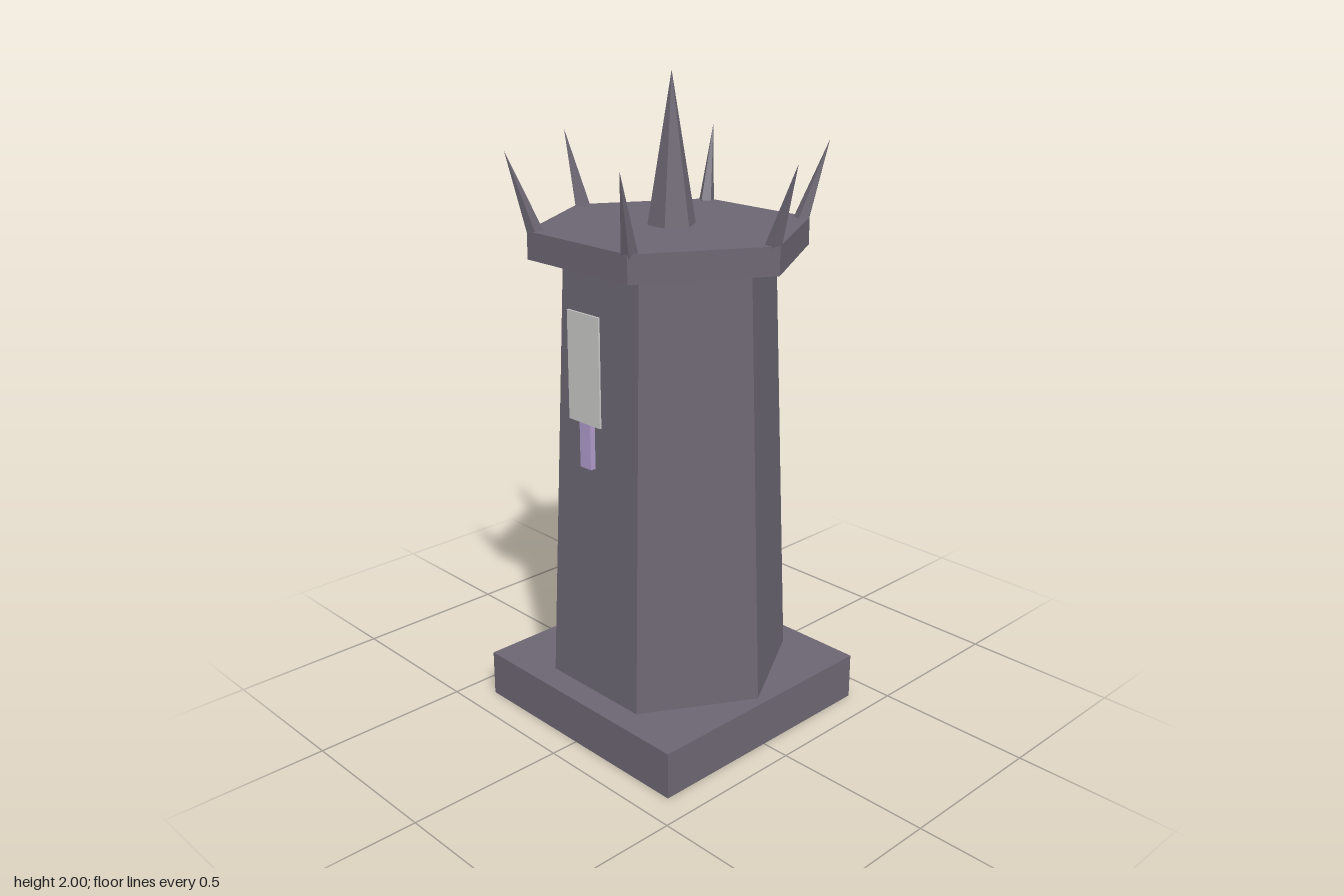
import * as THREE from 'three';

const stone = new THREE.MeshStandardMaterial({ color: 0x6c6672 });
stone.name = 'stone';
const pale = new THREE.MeshStandardMaterial({ color: 0xc8c9c6 });
pale.name = 'paleWindow';
const violet = new THREE.MeshStandardMaterial({ color: 0xb09acb });
violet.name = 'violet';

// Faceted normals
function facet(geometry) {
  const g = geometry.index ? geometry.toNonIndexed() : geometry;
  g.computeVertexNormals();
  return g;
}

function add(parent, name, geometry, material, x = 0, y = 0, z = 0) {
  const mesh = new THREE.Mesh(facet(geometry), material);
  mesh.name = name;
  mesh.position.set(x, y, z);
  parent.add(mesh);
  return mesh;
}

// Upright prism or cone standing on its own base, with a corner on +x when six-sided
function prism(rTop, rBottom, height, sides = 6) {
  return new THREE.CylinderGeometry(rTop, rBottom, height, sides, 1, false, Math.PI / 6)
    .translate(0, height / 2, 0);
}

function spike(radius, height, sides) {
  return new THREE.ConeGeometry(radius, height, sides, 1, false, Math.PI / 6)
    .translate(0, height / 2, 0);
}

export function createModel() {
  const tower = new THREE.Group();
  tower.name = 'tower';

  // Square plinth, tapering shaft and overhanging platform
  add(tower, 'base', new THREE.BoxGeometry(0.82, 0.147, 0.82), stone, 0, 0.0735, 0);
  add(tower, 'shaft', prism(0.323, 0.381, 1.335), stone, 0, 0.146, 0);
  add(tower, 'platform', prism(0.425, 0.425, 0.083), stone, 0, 1.478, 0);

  // Central spire
  add(tower, 'spire', spike(0.073, 0.44, 6), stone, 0, 1.56, 0);

  // Outward-leaning spikes on the six platform corners
  const foot = new THREE.Vector2(0.4, 1.555);
  const tip = new THREE.Vector2(0.481, 1.79);
  const lean = Math.atan2(tip.x - foot.x, tip.y - foot.y);
  for (let i = 0; i < 6; i++) {
    const arm = new THREE.Group();
    arm.name = 'cornerSpike' + (i + 1);
    arm.rotation.y = (i * Math.PI) / 3;
    const cone = add(arm, 'spike', spike(0.025, foot.distanceTo(tip), 5), stone, foot.x, foot.y, 0);
    cone.rotation.z = -lean;
    tower.add(arm);
  }

  // Front window panel with a narrow strip hanging below it
  add(tower, 'window', new THREE.BoxGeometry(0.134, 0.327, 0.006), pale, 0, 1.192, 0.345);
  add(tower, 'windowStrip', new THREE.BoxGeometry(0.046, 0.172, 0.018), violet, 0, 0.976, 0.338);

  return tower;
}
